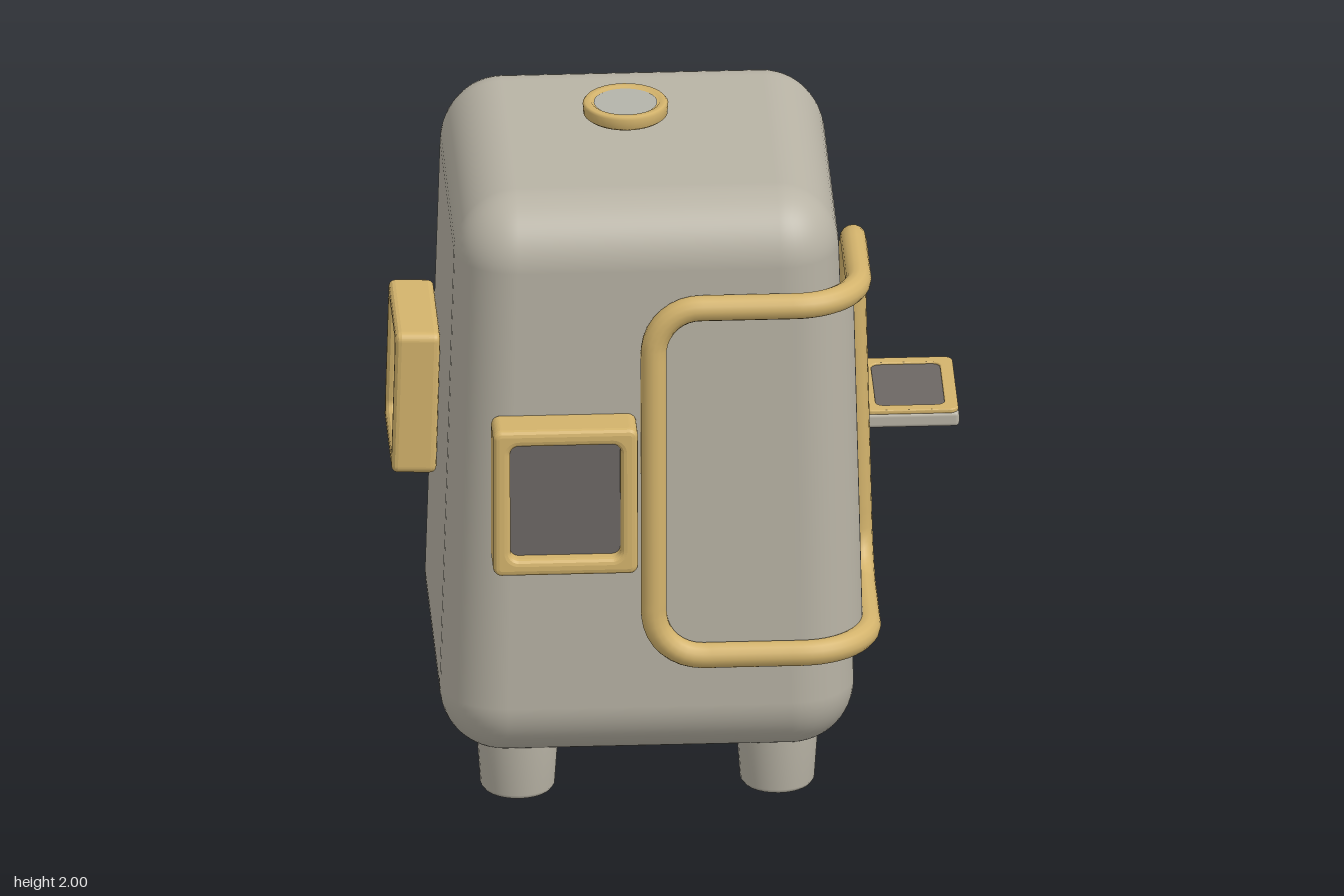
import * as THREE from 'three';
import { RoundedBoxGeometry } from 'three/addons/geometries/RoundedBoxGeometry.js';

const material = (name, color, side = THREE.FrontSide) => {
  const m = new THREE.MeshStandardMaterial({ color, side });
  m.name = name;
  return m;
};

// Rounded rectangle centred on cx, cy
function roundRect(target, w, h, r, cx = 0, cy = 0) {
  const x = cx - w / 2, y = cy - h / 2;
  target.moveTo(x + r, y);
  target.lineTo(x + w - r, y);
  target.absarc(x + w - r, y + r, r, -Math.PI / 2, 0);
  target.lineTo(x + w, y + h - r);
  target.absarc(x + w - r, y + h - r, r, 0, Math.PI / 2);
  target.lineTo(x + r, y + h);
  target.absarc(x + r, y + h - r, r, Math.PI / 2, Math.PI);
  target.lineTo(x, y + r);
  target.absarc(x + r, y + r, r, Math.PI, Math.PI * 1.5);
  return target;
}

export function createModel() {
  const stone = material('warm grey', 0xb8b3a5, THREE.DoubleSide);
  const gold = material('gold', 0xd3b36c);
  const dark = material('dark glass', 0x6c6764);
  const pale = material('pale grey', 0xb4b3aa);

  const model = new THREE.Group();
  model.name = 'cabinet';
  const add = (name, geometry, mat, parent = model) => {
    const mesh = new THREE.Mesh(geometry, mat);
    mesh.name = name;
    parent.add(mesh);
    return mesh;
  };

  // Body: rounded box narrowing slightly upwards
  const CX = -0.11, CZ = -0.06;
  const bodyGeo = new RoundedBoxGeometry(1.2, 1.75, 1.175, 7, 0.19);
  bodyGeo.translate(0, 1.025, 0);
  const bp = bodyGeo.attributes.position;
  for (let i = 0; i < bp.count; i++) {
    const t = (bp.getY(i) - 0.33) / 1.37;
    bp.setX(i, CX + bp.getX(i) * (1 - 0.07 * t));
    bp.setZ(i, CZ + bp.getZ(i) * (1 - 0.05 * t));
  }
  add('body', bodyGeo, stone);

  // Feet: tapered, hollow underneath
  const footProfile = [[0, 0.09], [0.07, 0.09], [0.074, 0.01], [0.082, 0], [0.1, 0],
    [0.108, 0.012], [0.119, 0.17], [0.119, 0.25]].map(([x, y]) => new THREE.Vector2(x, y));
  const footGeo = new THREE.LatheGeometry(footProfile, 28);
  for (const x of [-0.482, 0.27]) {
    for (const z of [-0.42, 0.305]) add('foot', footGeo, stone).position.set(x, 0, z);
  }

  // Corner door: s runs along the front, round the corner and down the side
  const FRONT = 0.43, R = 0.2, ARC = R * Math.PI / 2, SIDE = 0.4;
  const LENGTH = FRONT + ARC + SIDE, Y0 = 0.51, Y1 = 1.602, CORNER = 0.14;
  function wrap(s, y, inset = 0) {
    const r = R - inset;
    let x, z;
    if (s < FRONT) {
      x = -0.1 + s;
      z = 0.35 + r;
    } else if (s < FRONT + ARC) {
      const a = (s - FRONT) / R;
      x = 0.33 + r * Math.sin(a);
      z = 0.35 + r * Math.cos(a);
    } else {
      x = 0.33 + r;
      z = 0.35 - (s - FRONT - ARC);
    }
    const k = 1 - 0.042 * (y - Y0) / (Y1 - Y0);
    return new THREE.Vector3(CX + (x - CX) * k, y, CZ + (z - CZ) * k);
  }
  const outline = roundRect(new THREE.Path(), LENGTH, Y1 - Y0, CORNER, LENGTH / 2, (Y0 + Y1) / 2);
  const loop = outline.getSpacedPoints(100).slice(0, -1).map((p) => wrap(p.x, p.y));
  add('doorFrame', new THREE.TubeGeometry(new THREE.CatmullRomCurve3(loop, true), 160, 0.038, 14, true), gold);

  // Door panel, its ends clipped to the frame's rounded corners
  const panelGeo = new THREE.PlaneGeometry(1, 1, 48, 4);
  const pp = panelGeo.attributes.position;
  for (let i = 0; i < pp.count; i++) {
    const s = (pp.getX(i) + 0.5) * LENGTH;
    const d = Math.max(0, CORNER - Math.min(s, LENGTH - s));
    const cut = CORNER - Math.sqrt(Math.max(0, CORNER * CORNER - d * d));
    const y = (Y0 + Y1) / 2 + pp.getY(i) * (Y1 - Y0 - 2 * cut);
    const p = wrap(s, y, 0.015);
    pp.setXYZ(i, p.x, p.y, p.z);
  }
  panelGeo.computeVertexNormals();
  add('doorPanel', panelGeo, stone);

  // Window: bevelled frame around a recessed pane, facing +z from its back plane
  function makeWindow(name, w, h, depth, margin, recess, bevel) {
    const group = new THREE.Group();
    group.name = name;
    const shape = roundRect(new THREE.Shape(), w, h, 0.025);
    shape.holes.push(roundRect(new THREE.Path(), w - 2 * margin, h - 2 * margin, 0.025));
    const frame = new THREE.ExtrudeGeometry(shape, {
      depth: depth - 2 * bevel, bevelThickness: bevel, bevelSize: bevel,
      bevelOffset: -bevel, bevelSegments: 3, curveSegments: 5,
    });
    frame.translate(0, 0, bevel);
    add('frame', frame, gold, group);
    const pane = add('pane', new THREE.PlaneGeometry(w - 1.6 * margin, h - 1.6 * margin), dark, group);
    pane.position.z = depth - recess;
    group.rotation.order = 'YXZ';
    model.add(group);
    return group;
  }
  const place = (group, x, y, z, turn) => {
    group.position.set(x, y, z);
    group.rotation.set(-0.028, turn, 0);
  };
  place(makeWindow('frontWindow', 0.42, 0.455, 0.14, 0.05, 0.045, 0.018), -0.36, 1.038, 0.5, 0);
  place(makeWindow('rightWindow', 0.405, 0.445, 0.13, 0.05, 0.045, 0.018), -0.69, 1.032, -0.288, -Math.PI / 2);
  place(makeWindow('leftWindow', 0.38, 0.3, 0.095, 0.05, 0.04, 0.015), 0.46, 1.115, -0.298, Math.PI / 2);

  // Tray below the left window
  add('tray', new RoundedBoxGeometry(0.28, 0.046, 0.372, 3, 0.012), stone).position.set(0.68, 0.937, -0.298);
  const trayTop = makeWindow('trayTop', 0.276, 0.368, 0.014, 0.038, 0.006, 0.004);
  trayTop.position.set(0.68, 0.957, -0.298);
  trayTop.rotation.x = -Math.PI / 2;

  // Cap hovering over the roof
  const capProfile = [[0, 1.955], [0.112, 1.955], [0.122, 1.963], [0.124, 1.992], [0.118, 2],
    [0.1, 2], [0.094, 1.992], [0, 1.992]].map(([x, y]) => new THREE.Vector2(x, y));
  add('cap', new THREE.LatheGeometry(capProfile, 36), gold).position.set(-0.15, 0, -0.062);
  const disc = add('capDisc', new THREE.CircleGeometry(0.092, 36), pale);
  disc.rotation.x = -Math.PI / 2;
  disc.position.set(-0.15, 1.995, -0.062);

  return model;
}
